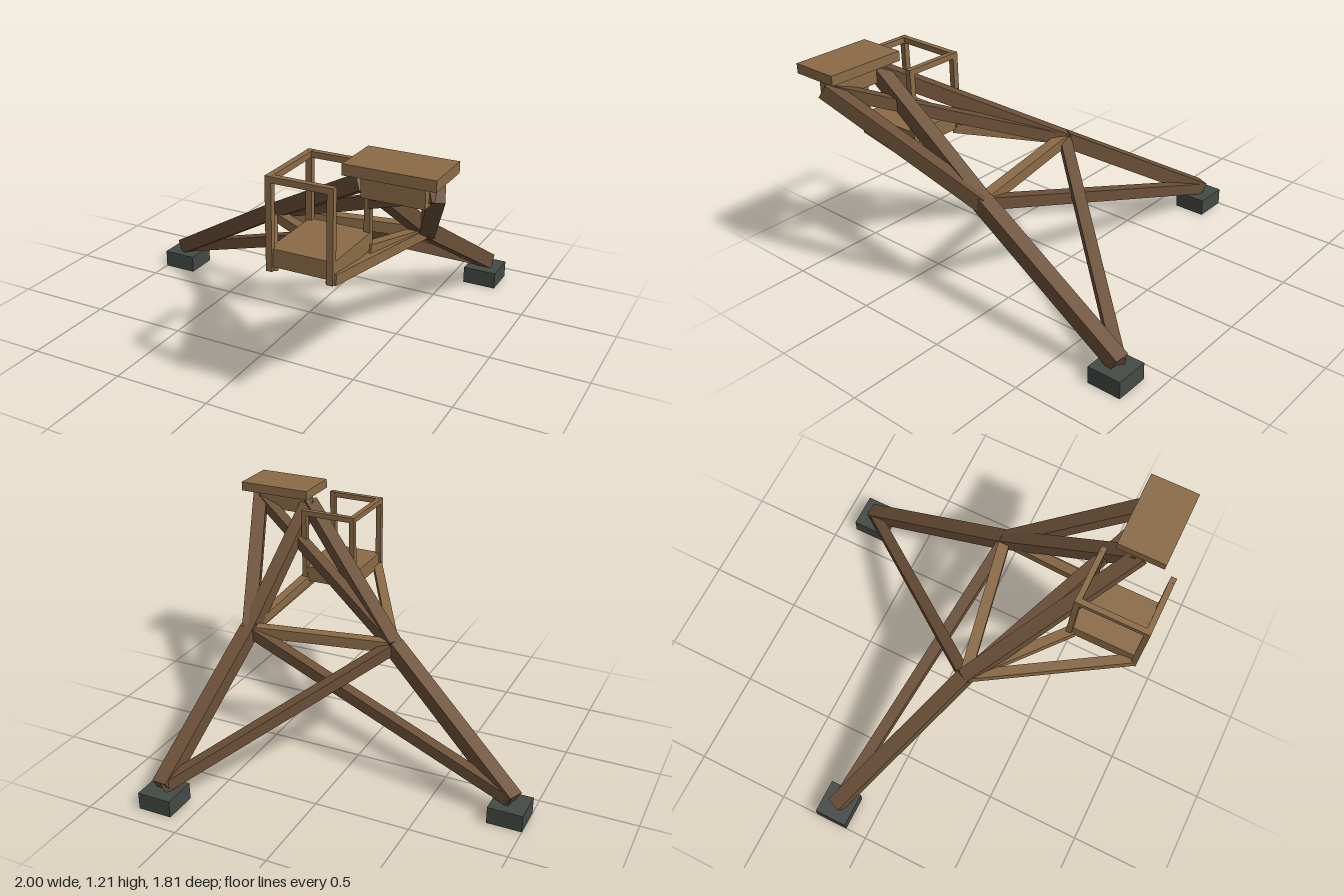
import * as THREE from 'three';

export function createModel() {
  const model = new THREE.Group();
  const dark = new THREE.MeshStandardMaterial({ color: 0x6b5038 });
  const light = new THREE.MeshStandardMaterial({ color: 0x8b6b47 });
  const stone = new THREE.MeshStandardMaterial({ color: 0x444a45 });

  // Axis-aligned box given by its lower and upper corners
  function box(name, min, max, material, parent = model) {
    const size = max.map((v, i) => v - min[i]);
    const mesh = new THREE.Mesh(new THREE.BoxGeometry(...size), material);
    mesh.position.set(...max.map((v, i) => (v + min[i]) / 2));
    mesh.name = name;
    parent.add(mesh);
  }

  // Square timber running between two points
  function beam(name, a, b, width, material, parent = model) {
    const from = new THREE.Vector3(...a), to = new THREE.Vector3(...b);
    const mesh = new THREE.Mesh(new THREE.BoxGeometry(width, width, from.distanceTo(to)), material);
    mesh.position.copy(from).add(to).multiplyScalar(0.5);
    mesh.lookAt(to);
    mesh.name = name;
    parent.add(mesh);
  }

  const footA = [-0.92, 0.11, -0.205], footB = [0.68, 0.11, -0.83];
  const kneeA = [-0.13, 0.61, 0.155], kneeB = [0.645, 0.61, 0.01];
  const topA = [0.635, 1.1, 0.7], topB = [0.95, 1.1, 0.7];

  // Foot blocks
  box('footBlockA', [-1, 0, -0.29], [-0.82, 0.09, -0.115], stone);
  box('footBlockB', [0.59, 0, -0.905], [0.77, 0.09, -0.725], stone);

  // Legs, lower and upper halves
  beam('lowerLegA', footA, kneeA, 0.08, dark);
  beam('lowerLegB', footB, kneeB, 0.08, dark);
  beam('upperLegA', kneeA, topA, 0.075, dark);
  beam('upperLegB', kneeB, topB, 0.075, dark);

  // Crossing braces and the tie between the knees
  beam('lowerBraceA', footA, kneeB, 0.06, dark);
  beam('lowerBraceB', footB, kneeA, 0.06, dark);
  beam('upperBraceA', kneeA, topB, 0.06, dark);
  beam('upperBraceB', kneeB, topA, 0.075, dark);
  beam('kneeTie', kneeA, kneeB, 0.058, light);

  // Head block and cap
  box('headBlock', [0.645, 1.05, 0.66], [0.93, 1.16, 0.765], light);
  box('cap', [0.59, 1.16, 0.58], [1, 1.21, 0.83], light);

  // Side platform on four struts
  const platform = new THREE.Group();
  platform.name = 'platform';
  model.add(platform);
  const [x0, x1, z0, z1, railY] = [0.285, 0.575, 0.53, 0.885, 1.11];
  box('floor', [0.28, 0.71, 0.52], [0.59, 0.795, 0.89], light, platform);
  for (const z of [z0 + 0.015, z1]) {
    beam('strutA', kneeA, [x0 + 0.01, 0.715, z], 0.05, light, platform);
    beam('strutB', kneeB, [x1, 0.715, z], 0.05, light, platform);
  }

  // Corner posts and the railing, open toward the head
  for (const x of [x0, x1]) for (const z of [z0, z1]) {
    box('post', [x - 0.015, 0.69, z - 0.015], [x + 0.015, railY + 0.015, z + 0.015], light, platform);
  }
  for (const z of [z0, z1]) beam('rail', [x0, railY, z], [x1, railY, z], 0.029, light, platform);
  beam('sideRail', [x0, railY, z0], [x0, railY, z1], 0.029, light, platform);

  return model;
}
